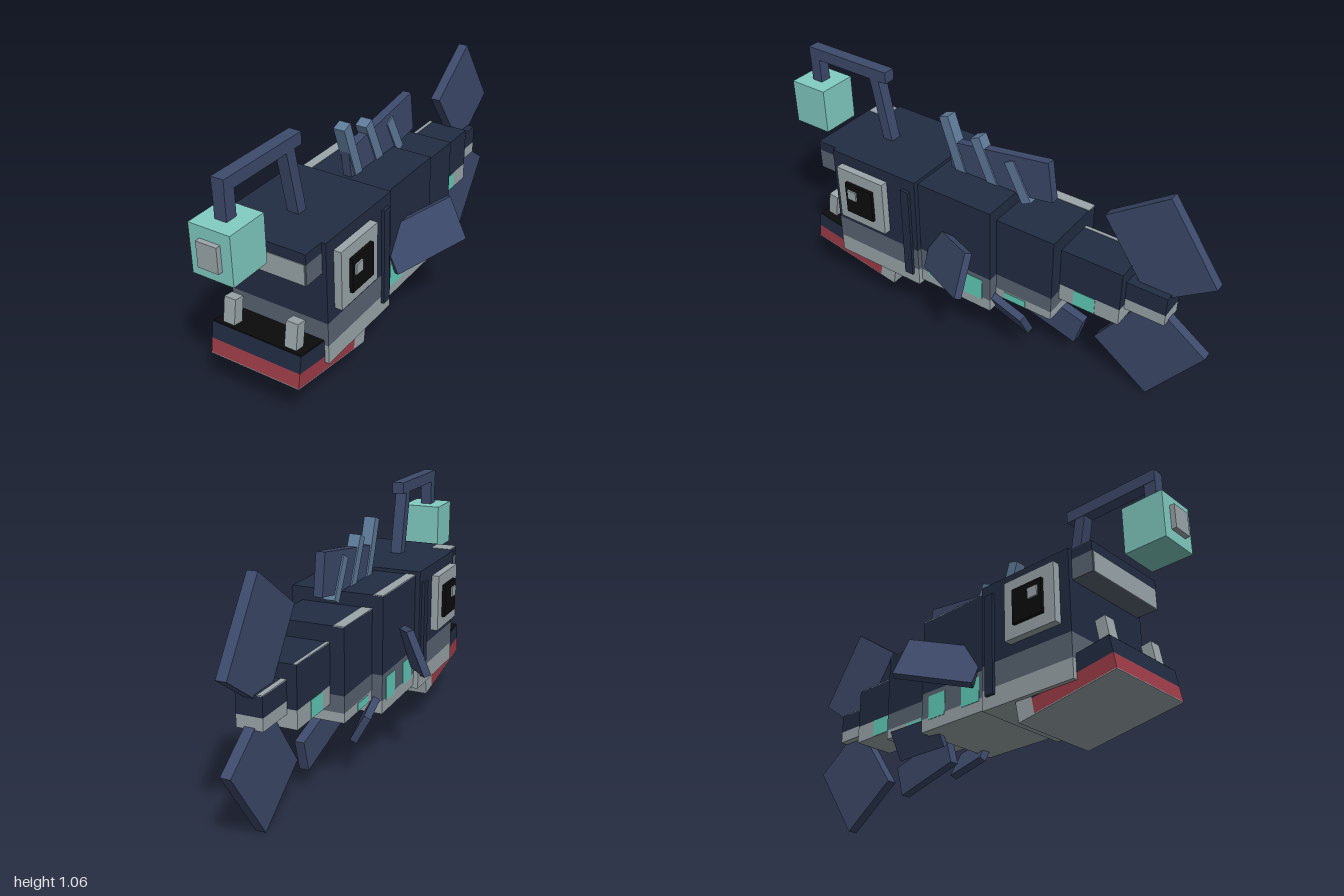
import * as THREE from 'three';

const mat = (name, color) => {
  const m = new THREE.MeshStandardMaterial({ color });
  m.name = name;
  return m;
};

export function createModel() {
  const navy = mat('navy', 0x222d43), slate = mat('slate', 0x5a6573), pale = mat('paleGrey', 0x9ca7ab);
  const fin = mat('finBlue', 0x3d4a6b), spineBlue = mat('spineBlue', 0x5f7c9b), teal = mat('teal', 0x62d0bb);
  const lampTeal = mat('lampTeal', 0x82cdc3), red = mat('red', 0x9e3c48), black = mat('black', 0x0c0c0d);

  const model = new THREE.Group();

  // Box given by its min and max on each axis
  function box(name, m, [x0, x1], [y0, y1], [z0, z1], parent = model) {
    const mesh = new THREE.Mesh(new THREE.BoxGeometry(x1 - x0, y1 - y0, z1 - z0), m);
    mesh.position.set((x0 + x1) / 2, (y0 + y1) / 2, (z0 + z1) / 2);
    mesh.name = name;
    parent.add(mesh);
    return mesh;
  }

  // Box on the centre plane running between two [z, y] points
  function limb(name, m, [z0, y0], [z1, y1], width, thick) {
    const dz = z1 - z0, dy = y1 - y0;
    const mesh = new THREE.Mesh(new THREE.BoxGeometry(thick, Math.hypot(dz, dy), width), m);
    mesh.position.set(0, (y0 + y1) / 2, (z0 + z1) / 2);
    mesh.rotation.x = Math.atan2(dz, dy);
    mesh.name = name;
    model.add(mesh);
  }

  // Pair of slanted plates spanned by a length and a height vector
  function finPair(name, centre, length, height, thick) {
    for (const s of [-1, 1]) {
      const l = new THREE.Vector3(-s * length[0], length[1], length[2]);
      const h = new THREE.Vector3(-s * height[0], height[1], height[2]);
      const mesh = new THREE.Mesh(new THREE.BoxGeometry(thick, h.length(), l.length()), fin);
      const z = l.clone().normalize(), x = h.clone().cross(z).normalize();
      const y = z.clone().cross(x);
      mesh.quaternion.setFromRotationMatrix(new THREE.Matrix4().makeBasis(x, y, z));
      mesh.position.set(-s * centre[0], centre[1], centre[2]);
      mesh.name = name + (s > 0 ? 'Left' : 'Right');
      model.add(mesh);
    }
  }

  // Head and body segments, each stacked from colour bands
  const segments = [
    { name: 'head', w: 0.218, z: [0.22, 0.65], y: [0.225, 0.305, 0.405, 0.745], glow: [] },
    { name: 'chest', w: 0.197, z: [-0.13, 0.22], y: [0.24, 0.295, 0.405, 0.73], stripe: 0.042,
      glow: [[0.09, 0.185, 0.285, 0.385], [-0.09, 0, 0.285, 0.385]] },
    { name: 'belly', w: 0.152, z: [-0.39, -0.13], y: [0.295, 0.335, 0.405, 0.675], stripe: 0.046,
      glow: [[-0.27, -0.17, 0.297, 0.33]] },
    { name: 'rump', w: 0.093, z: [-0.655, -0.39], y: [0.365, 0.44, 0.44, 0.61], stripe: 0.015,
      glow: [[-0.55, -0.455, 0.367, 0.44]] },
    { name: 'tailBase', w: 0.053, z: [-0.825, -0.655], y: [0.42, 0.47, 0.47, 0.55], stripe: 0.022, glow: [] },
  ];
  for (const { name, w, z, y, stripe, glow } of segments) {
    [pale, slate, navy].forEach((m, i) => {
      if (y[i + 1] > y[i]) box(name + ['Under', 'Flank', 'Back'][i], m, [-w, w], [y[i], y[i + 1]], z);
    });
    if (stripe) box(name + 'Stripe', pale, [-w, -w + stripe], [y[3] - 0.002, y[3] + 0.002], z);
    for (const [z0, z1, y0, y1] of glow)
      for (const s of [-1, 1])
        box(name + 'GlowPatch', teal, [s * w - 0.002, s * w + 0.002], [y0, y1], [z0, z1]);
  }

  // Brow over the mouth
  box('browTop', navy, [-0.2, 0.2], [0.703, 0.745], [0.65, 0.743]);
  box('brow', slate, [-0.2, 0.2], [0.618, 0.703], [0.65, 0.743]);
  box('browFront', pale, [-0.194, 0.194], [0.618, 0.703], [0.742, 0.746]);
  box('browPatch', pale, [-0.2, -0.11], [0.743, 0.747], [0.65, 0.735]);

  // Eyes and gill bars
  for (const s of [-1, 1]) {
    const out = (a, b) => (s > 0 ? [a, b] : [-b, -a]);
    box('eyePlate', pale, out(0.21, 0.25), [0.45, 0.695], [0.365, 0.605]);
    box('pupil', black, out(0.245, 0.264), [0.5, 0.643], [0.415, 0.555]);
    box('eyeGlint', pale, out(0.262, 0.271), [0.572, 0.615], [0.495, 0.54]);
    box('gillBar', navy, out(0.21, 0.231), [0.275, 0.695], [0.245, 0.285]);
  }

  // Tilted lower jaw with teeth
  const jaw = new THREE.Group();
  jaw.name = 'jaw';
  jaw.position.set(0, 0.244, 0.588);
  jaw.rotation.x = -0.17;
  model.add(jaw);
  box('jawLip', navy, [-0.2, 0.2], [-0.003, 0.067], [-0.145, 0.22], jaw);
  box('jawLower', red, [-0.2, 0.2], [-0.064, -0.003], [-0.145, 0.22], jaw);
  box('jawUnderside', pale, [-0.2, 0.2], [-0.068, -0.064], [-0.145, 0.22], jaw);
  box('jawHinge', pale, [-0.2, 0.2], [-0.068, 0.067], [-0.22, -0.145], jaw);
  box('mouthFloor', black, [-0.198, 0.198], [0.065, 0.07], [-0.14, 0.218], jaw);
  for (const x of [-0.139, 0.139])
    box('tooth', pale, [x - 0.026, x + 0.026], [0.06, 0.175], [0.156, 0.201], jaw);

  // Lure: stalk, arm, hanger and lamp
  limb('lureStalk', fin, [0.51, 0.72], [0.572, 1.03], 0.046, 0.05);
  box('lureArm', fin, [-0.026, 0.026], [1.01, 1.06], [0.505, 0.92]);
  box('lureHanger', fin, [-0.025, 0.025], [0.9, 1.01], [0.87, 0.92]);
  box('lureLamp', lampTeal, [-0.086, 0.086], [0.71, 0.905], [0.805, 0.98]);
  box('lampNub', pale, [-0.043, 0.043], [0.757, 0.858], [0.98, 1.0]);

  // Centre fins and back spines
  limb('dorsalFin', fin, [0.187, 0.762], [-0.284, 0.832], 0.173, 0.038);
  limb('spine', spineBlue, [0.125, 0.7], [0.215, 0.957], 0.046, 0.05);
  limb('spine', spineBlue, [-0.03, 0.705], [0.064, 0.912], 0.046, 0.05);
  limb('spine', spineBlue, [-0.182, 0.7], [-0.096, 0.863], 0.046, 0.05);
  limb('tailFinUpper', fin, [-0.648, 0.876], [-0.866, 0.566], 0.305, 0.042);
  limb('tailFinLower', fin, [-0.648, 0.09], [-0.866, 0.4], 0.305, 0.042);
  limb('analFin', fin, [-0.16, 0.236], [-0.45, 0.157], 0.135, 0.04);

  // Side fins
  finPair('pectoralFin', [0.259, 0.47, 0.035], [0.157, 0.075, -0.275], [0.077 * -1, 0.175, 0], 0.03);
  finPair('pelvicFin', [0.155, 0.245, -0.19], [0.04, -0.02, -0.21], [0.06, 0.11, 0], 0.03);

  return model;
}
